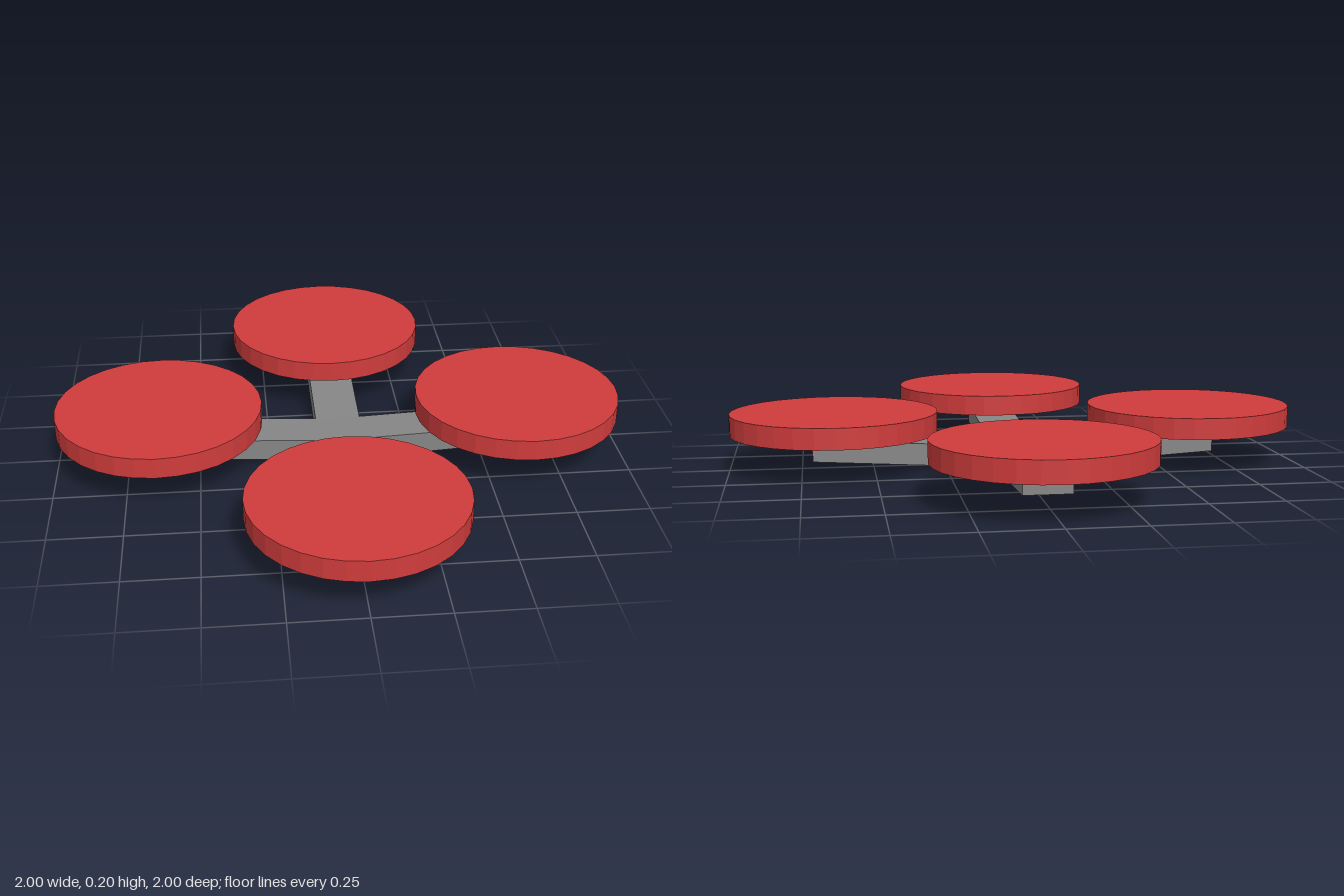
import * as THREE from 'three';

export function createModel() {
  const model = new THREE.Group();
  const grey = new THREE.MeshStandardMaterial({ color: 0x868686 });
  grey.name = 'frame grey';
  grey.flatShading = true;
  const red = new THREE.MeshStandardMaterial({ color: 0xd03c3c });
  red.name = 'rotor red';
  red.flatShading = true;

  const half = 0.08; // half the width of the hub and arms

  // Flat square hub
  const hub = new THREE.Mesh(new THREE.BoxGeometry(half * 2, 0.08, half * 2), grey);
  hub.name = 'hub';
  hub.position.y = 0.04;
  model.add(hub);

  // Arm profile rising gently outwards, extruded across its width
  const profile = new THREE.Shape([
    new THREE.Vector2(half, 0),
    new THREE.Vector2(0.713, 0.037),
    new THREE.Vector2(0.713, 0.108),
    new THREE.Vector2(half, 0.08),
  ]);
  const armGeometry = new THREE.ExtrudeGeometry(profile, { depth: half * 2, bevelEnabled: false });
  armGeometry.translate(0, 0, -half);

  // Rotor discs
  const discGeometry = new THREE.CylinderGeometry(0.362, 0.362, 0.073, 32);
  const rotors = [
    ['left', 0.636, 0.164],
    ['back', 0.638, 0.165],
    ['right', 0.638, 0.165],
    ['front', 0.633, 0.165],
  ];
  rotors.forEach(([side, distance, height], i) => {
    const unit = new THREE.Group();
    unit.name = side + 'Unit';
    const arm = new THREE.Mesh(armGeometry, grey);
    arm.name = side + 'Arm';
    const disc = new THREE.Mesh(discGeometry, red);
    disc.name = side + 'RotorDisc';
    disc.position.set(distance, height, 0);
    unit.add(arm, disc);
    unit.rotation.y = i * Math.PI / 2;
    model.add(unit);
  });
  return model;
}
